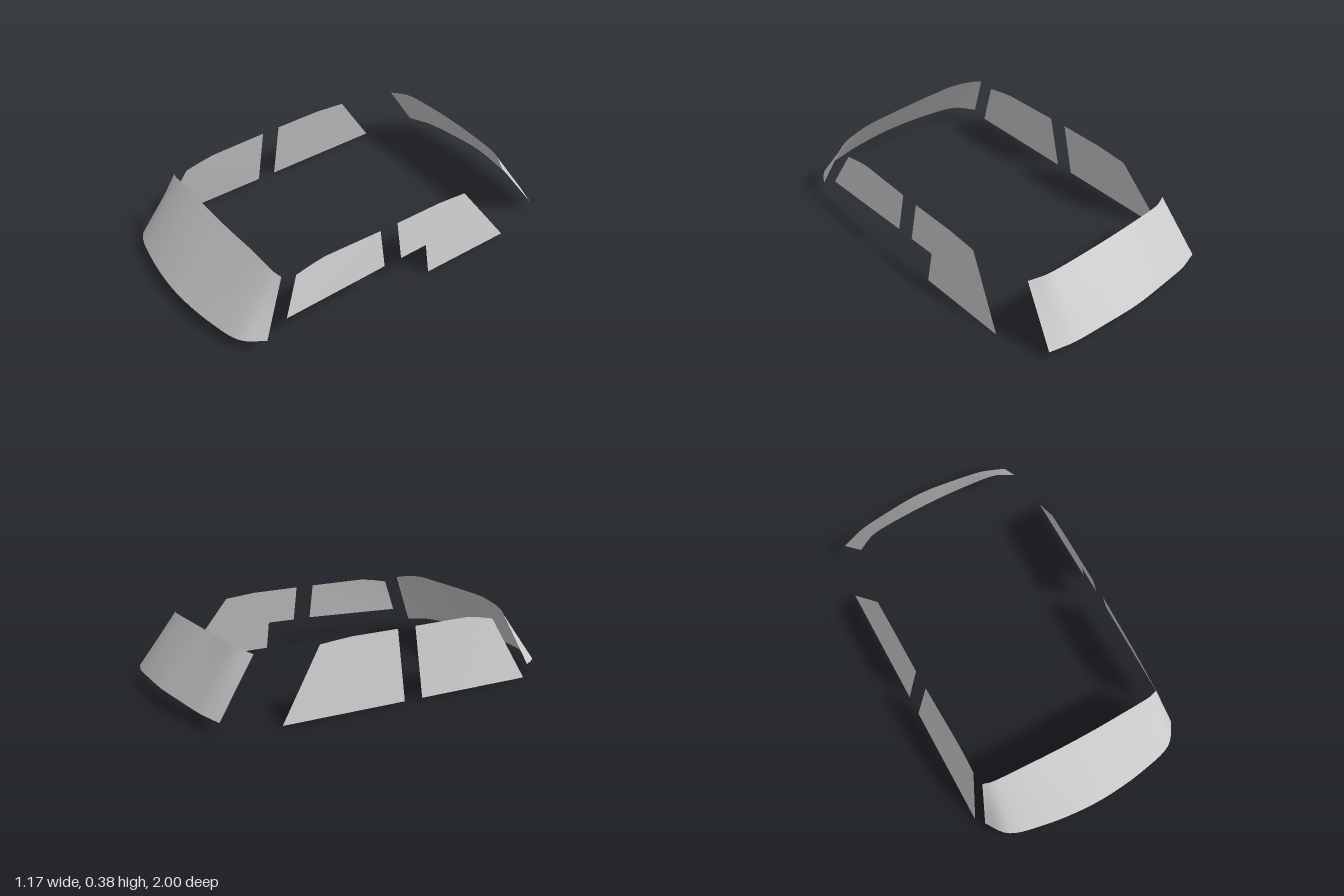
import * as THREE from 'three';

const glass = new THREE.MeshStandardMaterial({ color: 0xcccccc, side: THREE.DoubleSide });
glass.name = 'glass grey';

// Full-width smooth edge from points listed centre outwards; dir sets which side comes first
function edgeCurve(half, dir) {
  const near = half.map(([x, y, z]) => new THREE.Vector3(-dir * x, y, z)).reverse();
  const far = half.slice(1).map(([x, y, z]) => new THREE.Vector3(dir * x, y, z));
  return new THREE.CatmullRomCurve3([...near, ...far], false, 'centripetal');
}

// Curved screen: a smooth sheet between a lower and an upper edge
function screen(name, lower, upper, dir) {
  const a = edgeCurve(lower, dir), b = edgeCurve(upper, dir);
  const cols = 40, rows = 4, pos = [], index = [];
  for (let i = 0; i <= cols; i++) {
    const p = a.getPoint(i / cols), q = b.getPoint(i / cols);
    for (let j = 0; j <= rows; j++) pos.push(...p.clone().lerp(q, j / rows).toArray());
  }
  for (let i = 0; i < cols; i++) {
    for (let j = 0; j < rows; j++) {
      const k = i * (rows + 1) + j, n = k + rows + 1;
      index.push(k, n, n + 1, k, n + 1, k + 1);
    }
  }
  const geo = new THREE.BufferGeometry();
  geo.setAttribute('position', new THREE.Float32BufferAttribute(pos, 3));
  geo.setIndex(index);
  geo.computeVertexNormals();
  const mesh = new THREE.Mesh(geo, glass);
  mesh.name = name;
  return mesh;
}

// Side pane: outline in (z, y), leaning inwards with height; side is +1 left, -1 right
function sidePane(name, outline, side) {
  const shape = new THREE.Shape(outline.map(([z, y]) => new THREE.Vector2(-side * z, y)));
  const geo = new THREE.ShapeGeometry(shape);
  const p = geo.attributes.position;
  for (let i = 0; i < p.count; i++) {
    const z = -side * p.getX(i), y = p.getY(i);
    const lean = 0.197 + 0.035 * z + 0.1 * z * z;
    p.setXYZ(i, side * (0.587 - lean * y), y, z);
  }
  geo.computeVertexNormals();
  const mesh = new THREE.Mesh(geo, glass);
  mesh.name = name;
  return mesh;
}

export function createModel() {
  const car = new THREE.Group();
  car.name = 'carGlass';

  // Windscreen wraps round at its ends
  car.add(screen('windscreen',
    [[0, 0.055, 1], [0.17, 0.055, 0.99], [0.31, 0.055, 0.969], [0.44, 0.055, 0.938], [0.495, 0.055, 0.905], [0.555, 0.055, 0.82]],
    [[0, 0.378, 0.725], [0.15, 0.378, 0.723], [0.29, 0.377, 0.718], [0.4, 0.362, 0.711], [0.455, 0.35, 0.704], [0.495, 0.34, 0.69]], 1));

  // Rear window
  car.add(screen('rearWindow',
    [[0, 0.07, -1], [0.2, 0.065, -0.986], [0.375, 0.055, -0.965], [0.43, 0.05, -0.95], [0.51, 0.042, -0.923]],
    [[0, 0.35, -0.785], [0.18, 0.348, -0.781], [0.34, 0.342, -0.771], [0.39, 0.336, -0.76], [0.465, 0.322, -0.725]], -1));

  // Side windows: shared top edges, the left panes are cut away below
  const frontTop = [[0.128, 0.35], [0.45, 0.35], [0.53, 0.338], [0.615, 0.32]];
  const rearTop = [[-0.645, 0], [-0.41, 0.336], [-0.24, 0.35], [0.025, 0.35]];
  car.add(sidePane('rightFrontWindow', [[0.77, 0], [0.128, 0], ...frontTop], -1));
  car.add(sidePane('leftFrontWindow', [[0.706, 0.13], [0.128, 0.153], ...frontTop], 1));
  car.add(sidePane('rightRearWindow', [[0.025, 0], ...rearTop], -1));
  car.add(sidePane('leftRearWindow', [[0.025, 0.153], [-0.135, 0.156], [-0.135, 0], ...rearTop], 1));
  return car;
}
